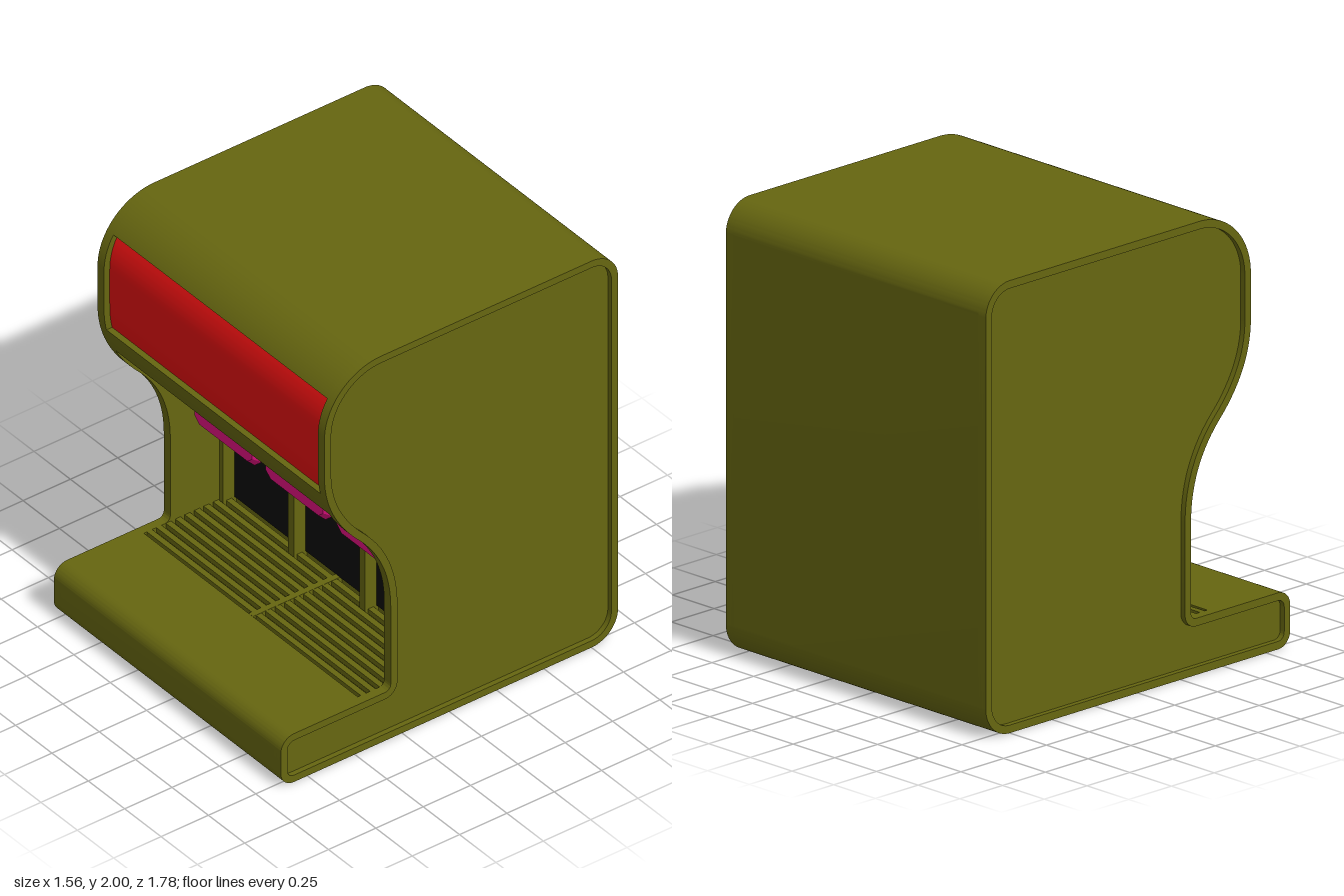
import * as THREE from 'three';
import { toCreasedNormals } from 'three/addons/utils/BufferGeometryUtils.js';

const mat = (color) => new THREE.MeshStandardMaterial({ color });
const V = (z, y) => new THREE.Vector2(z, y);
const HALF = 0.78, INNER = 0.735;

// Extrudes a (z, y) profile along x between x0 and x1
function extrudeX(points, x0, x1, material, name, hole) {
  const shape = new THREE.Shape(points);
  if (hole) shape.holes.push(new THREE.Path(hole));
  const geo = new THREE.ExtrudeGeometry(shape, { depth: x1 - x0, bevelEnabled: false });
  geo.rotateY(-Math.PI / 2);
  geo.translate(x1, 0, 0);
  const mesh = new THREE.Mesh(toCreasedNormals(geo, 0.5), material);
  mesh.name = name;
  return mesh;
}

function box(x0, x1, y0, y1, z0, z1, material, name) {
  const mesh = new THREE.Mesh(new THREE.BoxGeometry(x1 - x0, y1 - y0, z1 - z0), material);
  mesh.position.set((x0 + x1) / 2, (y0 + y1) / 2, (z0 + z1) / 2);
  mesh.name = name;
  return mesh;
}

// Side silhouette in (z, y)
function outline() {
  const P = Math.PI, p = new THREE.Path();
  p.moveTo(-0.75, 0);
  p.lineTo(0.82, 0);
  p.absarc(0.82, 0.07, 0.07, -P / 2, 0);
  p.absarc(0.82, 0.18, 0.07, 0, P / 2);
  p.lineTo(0.34, 0.25);
  p.absarc(0.34, 0.28, 0.03, -P / 2, -P, true);
  p.lineTo(0.31, 0.68);
  p.quadraticCurveTo(0.31, 0.92, 0.47, 1.09);
  p.quadraticCurveTo(0.66, 1.28, 0.66, 1.5);
  p.lineTo(0.66, 1.7);
  p.absarc(0.36, 1.7, 0.3, 0, P / 2);
  p.absarc(-0.75, 1.86, 0.14, P / 2, P);
  p.absarc(-0.75, 0.14, 0.14, P, 1.5 * P);
  const pts = p.getPoints(14);
  return pts.filter((a, i) => a.distanceTo(pts[(i + 1) % pts.length]) > 1e-4);
}

// Moves a closed counter-clockwise outline inwards
function inset(pts, d) {
  const n = pts.length;
  return pts.map((p, i) => {
    const a = p.clone().sub(pts[(i + n - 1) % n]).normalize();
    const b = pts[(i + 1) % n].clone().sub(p).normalize();
    const m = V(-a.y - b.y, a.x + b.x).normalize();
    const k = d / Math.max(0.5, m.dot(V(-a.y, a.x)));
    return p.clone().addScaledVector(m, k);
  });
}

export function createModel() {
  const group = new THREE.Group();
  group.name = 'drinkDispenser';
  const olive = mat(0x666610), red = mat(0xe01010), pink = mat(0xe0107f), black = mat(0x0d0d0d);
  const outer = outline(), inner = inset(outer, 0.035);

  // Side walls: a full plate with a raised rim
  for (const s of [-1, 1]) {
    const span = (a, b) => (s > 0 ? [a, b] : [-b, -a]);
    group.add(extrudeX(outer, ...span(INNER, 0.755), olive, 'sidePanel'));
    group.add(extrudeX(outer, ...span(0.755, HALF), olive, 'sideRim', inner));
  }

  // Front curve helpers
  const front = outer.filter((p) => p.x > 0.2 && p.y > 0.3);
  const zAt = (y) => {
    const i = front.findIndex((p) => p.y >= y), a = front[i - 1], b = front[i];
    return a.x + ((b.x - a.x) * (y - a.y)) / (b.y - a.y);
  };
  const frontStrip = (y0, y1, d) => {
    const pts = [];
    for (let i = 0; i <= 14; i++) {
      const y = y0 + ((y1 - y0) * i) / 14;
      pts.push(V(zAt(y) - d, y));
    }
    return pts;
  };

  // Middle of the cabinet with the drip well, alcove and sign recess
  const tray = outer.filter((p) => p.y < 0.2501 && p.x > 0.4);
  const ceiling = new THREE.QuadraticBezierCurve(V(0.05, 0.65), V(0.07, 1.08), V(zAt(1.26), 1.26));
  const top = outer.filter((p) => p.y > 1.87);
  const back = outer.filter((p) => p.x < -0.7 && p.y < 1.87);
  const middle = [
    ...tray, V(0.45, 0.25), V(0.45, 0.215), V(-0.02, 0.215), V(-0.02, 0.65),
    ...ceiling.getPoints(18),
    ...frontStrip(1.28, 1.39, 0),
    ...frontStrip(1.39, 1.865, 0.05),
    V(zAt(1.865), 1.865), ...top, ...back,
  ];
  group.add(extrudeX(middle, -INNER, INNER, olive, 'cabinet'));

  // Red sign following the front curve
  const sign = [...frontStrip(1.39, 1.865, 0.05).reverse(), ...frontStrip(1.39, 1.865, 0.03)];
  group.add(extrudeX(sign, -INNER, INNER, red, 'signPanel'));

  // Drip grate
  for (let i = 0; i < 9; i++) {
    const z = 0.02 + i * 0.05;
    group.add(box(-INNER, INNER, 0.225, 0.25, z - 0.014, z + 0.014, olive, 'grateBar'));
  }
  group.add(box(-0.015, 0.015, 0.22, 0.251, -0.02, 0.45, olive, 'grateDivider'));

  // Ribs between the splash panels
  for (const [a, b] of [[-INNER, -0.71], [-0.265, -0.225], [0.225, 0.265], [0.71, INNER]]) {
    group.add(box(a, b, 0.215, 0.65, -0.02, 0.05, olive, 'splashRib'));
  }

  // Valve parts
  const bodyShape = new THREE.Shape([
    V(-0.165, -0.07), V(0.165, -0.07), V(0.198, -0.04), V(0.198, 0.04),
    V(0.165, 0.07), V(-0.165, 0.07), V(-0.198, 0.04), V(-0.198, -0.04),
  ]);
  const bodyGeo = new THREE.ExtrudeGeometry(bodyShape, {
    depth: 0.14, bevelThickness: 0.03, bevelSize: 0.028, bevelSegments: 1,
  });
  const bracketShape = new THREE.Shape([
    V(-0.07, 0.9), V(0.07, 0.9), V(0.07, 1.065), V(0.03, 1.065),
    V(0.03, 0.96), V(-0.03, 0.96), V(-0.03, 1.065), V(-0.07, 1.065),
  ]);
  const bracketGeo = new THREE.ExtrudeGeometry(bracketShape, { depth: 0.2, bevelEnabled: false });
  const leverPath = new THREE.SplineCurve([
    V(0.5, 1.26), V(0.47, 1.16), V(0.38, 1.1), V(0.28, 1.06), V(0.25, 0.95),
  ]).getPoints(16);
  const lever = [...leverPath, ...leverPath.map((p) => V(p.x - 0.035, p.y + 0.03)).reverse()];

  // Three dispensing stations
  [-0.4875, 0, 0.4875].forEach((x) => {
    const valve = new THREE.Group();
    valve.name = 'valve';
    const body = new THREE.Mesh(bodyGeo, pink);
    body.name = 'valveBody';
    body.position.set(0, 0.828, 0.05);
    const bracket = new THREE.Mesh(bracketGeo, pink);
    bracket.name = 'valveBracket';
    bracket.position.z = 0.06;
    valve.add(body, bracket, extrudeX(lever.slice().reverse(), -0.02, 0.02, pink, 'valveLever'));
    valve.position.x = x;
    group.add(valve);
    group.add(box(x - 0.2225, x + 0.2225, 0.25, 0.65, -0.03, -0.01, black, 'splashPanel'));
  });
  return group;
}
